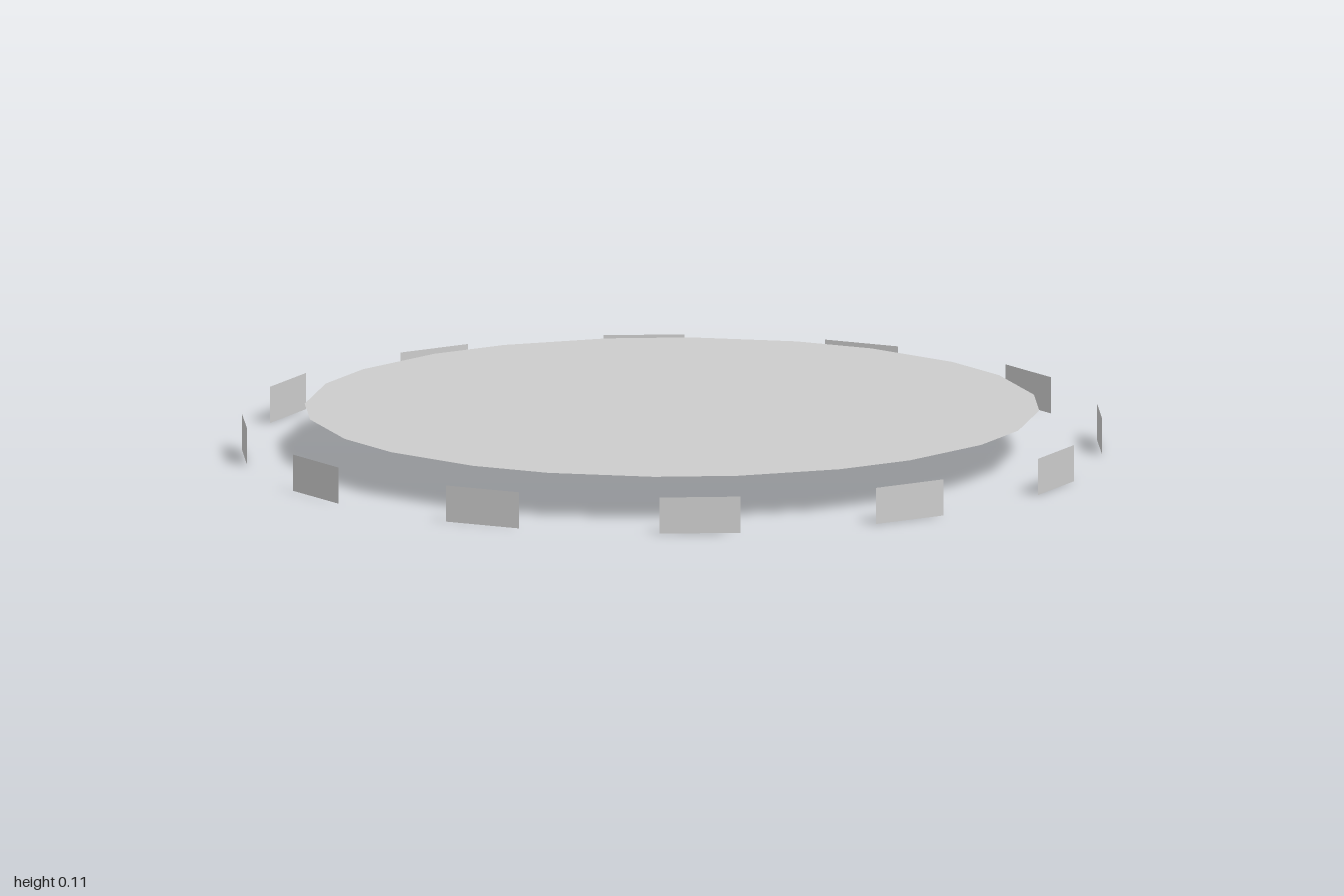
import * as THREE from 'three';

export function createModel() {
  const model = new THREE.Group();
  const grey = new THREE.MeshStandardMaterial({ color: 0xcccccc, side: THREE.DoubleSide });
  grey.name = 'light grey';

  const count = 12;
  const plateWidth = 0.19, plateHeight = 0.086, ringRadius = 1;
  const discApothem = 0.853, discHalfEdge = 0.098, discHeight = 0.107;

  // Flat disc: twelve short edges facing the plates, joined by longer ones
  const outline = [];
  for (let i = 0; i < count; i++) {
    const a = (i / count) * Math.PI * 2;
    for (const s of [-discHalfEdge, discHalfEdge]) {
      outline.push(new THREE.Vector2(
        discApothem * Math.cos(a) - s * Math.sin(a),
        discApothem * Math.sin(a) + s * Math.cos(a)));
    }
  }
  const discGeometry = new THREE.ShapeGeometry(new THREE.Shape(outline));
  discGeometry.rotateX(-Math.PI / 2);
  const disc = new THREE.Mesh(discGeometry, grey);
  disc.name = 'topDisc';
  disc.position.y = discHeight;
  model.add(disc);

  // Ring of upright plates facing outwards
  const ring = new THREE.Group();
  ring.name = 'plateRing';
  const plateGeometry = new THREE.PlaneGeometry(plateWidth, plateHeight);
  for (let i = 0; i < count; i++) {
    const a = (i / count) * Math.PI * 2;
    const plate = new THREE.Mesh(plateGeometry, grey);
    plate.name = 'sidePlate' + (i + 1);
    plate.position.set(Math.sin(a) * ringRadius, plateHeight / 2, Math.cos(a) * ringRadius);
    plate.rotation.y = a;
    ring.add(plate);
  }
  model.add(ring);

  return model;
}
